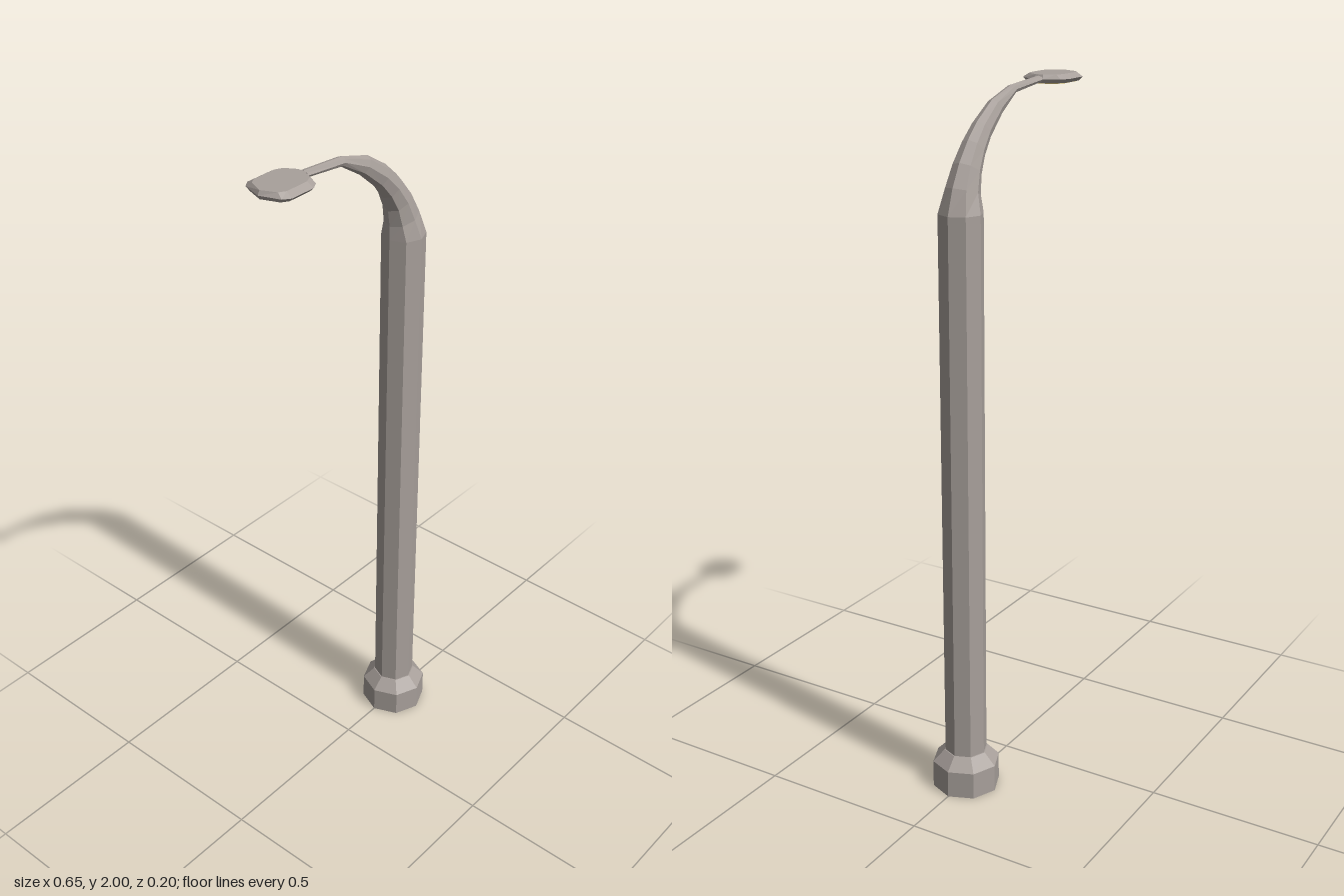
import * as THREE from 'three';

const POST_X = 0.228;
const SIDES = 8;

// Skin a stack of equal-length point rings, closed at both ends
function loft(rings) {
  const n = rings[0].length;
  const pos = [];
  const tri = (...pts) => pts.forEach((p) => pos.push(p.x, p.y, p.z));
  for (let i = 0; i < rings.length - 1; i++) {
    for (let j = 0; j < n; j++) {
      const k = (j + 1) % n;
      const a = rings[i][j], b = rings[i][k], c = rings[i + 1][j], d = rings[i + 1][k];
      tri(a, c, b);
      tri(b, c, d);
    }
  }
  const middle = (ring) => ring.reduce((s, p) => s.add(p), new THREE.Vector3()).divideScalar(n);
  const first = rings[0], last = rings[rings.length - 1];
  const m0 = middle(first), m1 = middle(last);
  for (let j = 0; j < n; j++) {
    const k = (j + 1) % n;
    tri(m0, first[j], first[k]);
    tri(m1, last[k], last[j]);
  }
  const geo = new THREE.BufferGeometry();
  geo.setAttribute('position', new THREE.Float32BufferAttribute(pos, 3));
  geo.computeVertexNormals();
  return geo;
}

// Octagonal ring between an outer and an inner point of the bend
function armRing([ox, oy, ix, iy, halfZ]) {
  return Array.from({ length: SIDES }, (_, j) => {
    const t = (j / SIDES) * Math.PI * 2;
    const c = Math.cos(t) / 2;
    return new THREE.Vector3((ox + ix) / 2 + (ox - ix) * c, (oy + iy) / 2 + (oy - iy) * c, halfZ * Math.sin(t));
  });
}

// Lamp head outline, mirrored in z
const half = [[-0.167, 0.015], [-0.187, 0.058], [-0.21, 0.072], [-0.287, 0.072], [-0.307, 0.058]];
const outline = [...half, [-0.327, 0], ...half.map(([x, z]) => [x, -z]).reverse()];

function headRing(y, scaleX, scaleZ) {
  const cx = -0.247;
  return outline.map(([x, z]) => new THREE.Vector3(cx + (x - cx) * scaleX, y, z * scaleZ));
}

export function createModel() {
  const group = new THREE.Group();
  const metal = new THREE.MeshStandardMaterial({ color: 0xa8a09b, flatShading: true });
  metal.name = 'warm grey metal';
  const glow = new THREE.MeshStandardMaterial({ color: 0xc8ae4e, flatShading: true });
  glow.name = 'yellow lamp glass';

  const add = (name, geo, mat = metal) => {
    const mesh = new THREE.Mesh(geo, mat);
    mesh.name = name;
    group.add(mesh);
    return mesh;
  };
  const column = (name, rTop, rBottom, y0, y1) => {
    const mesh = add(name, new THREE.CylinderGeometry(rTop, rBottom, y1 - y0, SIDES));
    mesh.position.set(POST_X, (y0 + y1) / 2, 0);
  };

  // Foot, sloped collar and straight post
  column('base', 0.098, 0.098, 0, 0.08);
  column('baseCollar', 0.064, 0.098, 0.08, 0.115);
  column('post', 0.061, 0.061, 0.115, 1.685);

  // Tapering bent arm: outer x, y, inner x, y, half width
  add('bentArm', loft([
    [0.289, 1.685, 0.167, 1.685, 0.061],
    [0.265, 1.755, 0.167, 1.725, 0.046],
    [0.232, 1.815, 0.159, 1.772, 0.039],
    [0.19, 1.868, 0.138, 1.817, 0.033],
    [0.145, 1.91, 0.105, 1.86, 0.028],
    [0.072, 1.958, 0.042, 1.915, 0.022],
    [-0.025, 1.987, -0.033, 1.963, 0.0155],
    [-0.167, 1.997, -0.167, 1.979, 0.0155],
  ].map(armRing)));

  // Flat lamp head with bevelled edges
  add('lampHead', loft([headRing(1.977, 0.93, 0.85), headRing(1.988, 1, 1), headRing(2, 0.92, 0.73)]));

  // Glass panel underneath
  add('lampGlass', loft([headRing(1.975, 0.85, 0.75), headRing(1.978, 0.85, 0.75)]), glow);

  return group;
}
